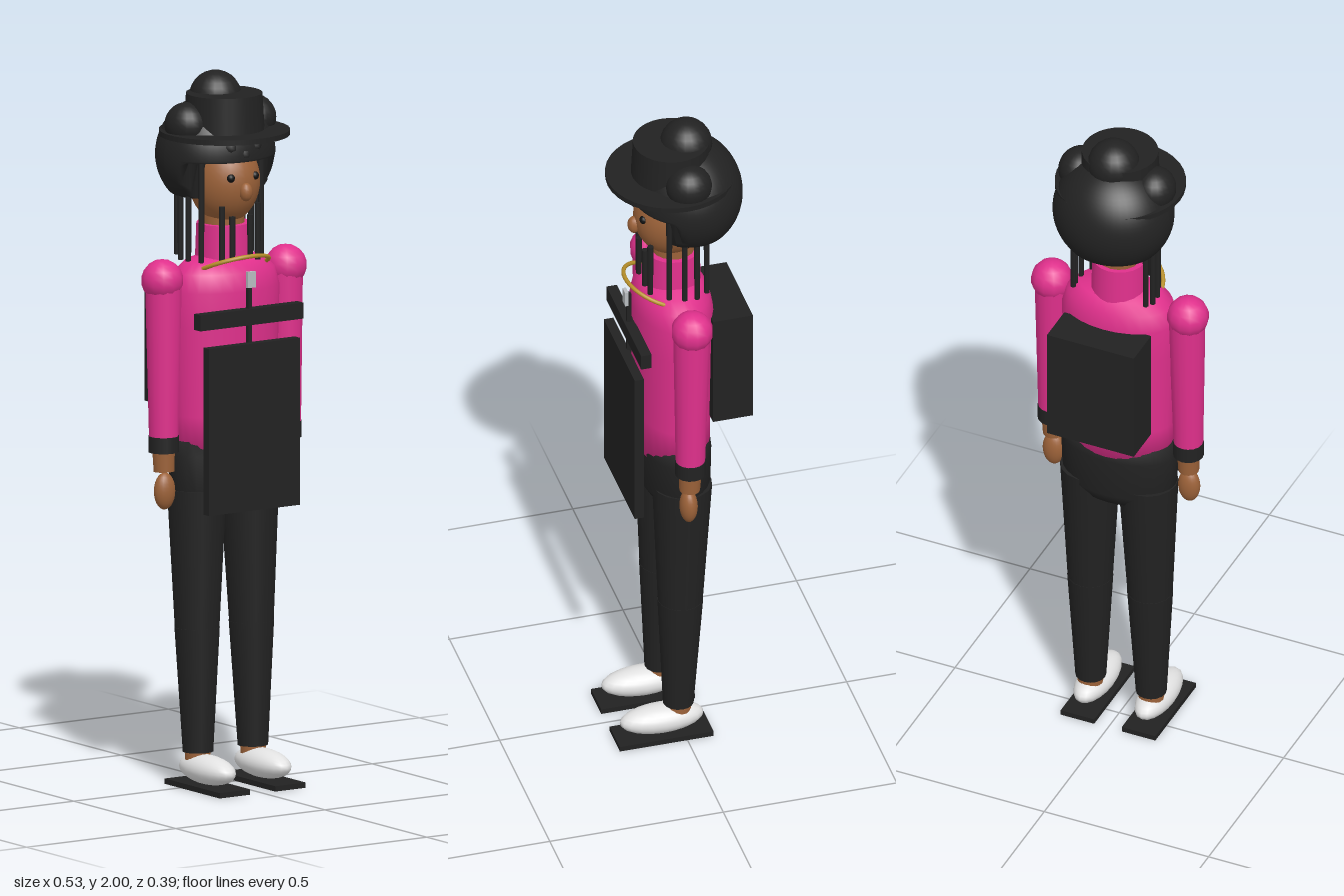
import * as THREE from 'three';

const mat = (name, color, side = THREE.FrontSide) => {
  const m = new THREE.MeshStandardMaterial({ color, side });
  m.name = name;
  return m;
};

export function createModel() {
  const black = mat('black cloth and hair', 0x222222);
  const pink = mat('pink sweater', 0xe0308c);
  const skin = mat('brown skin', 0x9c6239);
  const white = mat('white shoe', 0xe2e2e2);
  const gold = mat('gold', 0xb8902a);
  const silver = mat('silver', 0xb8bcc0);
  const dark = mat('dark eye', 0x111111);

  const model = new THREE.Group();
  model.name = 'figure';

  const add = (name, geo, material, x = 0, y = 0, z = 0) => {
    const mesh = new THREE.Mesh(geo, material);
    mesh.name = name;
    mesh.position.set(x, y, z);
    model.add(mesh);
    return mesh;
  };
  const ball = (name, m, x, y, z, rx, ry = rx, rz = rx, seg = 20) =>
    add(name, new THREE.SphereGeometry(1, seg, Math.ceil(seg * 0.7)).scale(rx, ry, rz), m, x, y, z);
  const box = (name, m, x0, x1, y0, y1, z0, z1) =>
    add(name, new THREE.BoxGeometry(x1 - x0, y1 - y0, z1 - z0), m, (x0 + x1) / 2, (y0 + y1) / 2, (z0 + z1) / 2);
  // Tapered round limb between two points
  const limb = (name, m, a, b, ra, rb, seg = 16) => {
    const p = new THREE.Vector3(...a), q = new THREE.Vector3(...b);
    const mesh = add(name, new THREE.CylinderGeometry(ra, rb, p.distanceTo(q), seg), m);
    mesh.position.copy(p).add(q).multiplyScalar(0.5);
    mesh.quaternion.setFromUnitVectors(new THREE.Vector3(0, 1, 0), p.sub(q).normalize());
    return mesh;
  };
  // Oval body section turned from [radius, y] pairs
  const oval = (name, m, profile, depth, z) =>
    add(name, new THREE.LatheGeometry(profile.map(([r, y]) => new THREE.Vector2(r, y)), 28).scale(1, 1, depth), m, 0, 0, z);

  // Torso, collar and hips
  oval('torso', pink, [[0, 0.93], [0.155, 0.93], [0.158, 1.05], [0.168, 1.3], [0.17, 1.4],
    [0.155, 1.45], [0.12, 1.48], [0, 1.51]], 0.65, 0.005);
  add('collar', new THREE.CylinderGeometry(0.075, 0.08, 0.13, 20), pink, 0, 1.515, 0.002);
  oval('hips', black, [[0, 0.775], [0.13, 0.78], [0.168, 0.82], [0.172, 0.94], [0.16, 0.98], [0, 0.98]], 0.59, 0.003);
  limb('neck', skin, [0, 1.65, 0], [0, 1.55, 0], 0.06, 0.06);

  for (const s of [1, -1]) {
    // Legs and shoes
    limb('thigh', black, [s * 0.088, 0.84, 0], [s * 0.091, 0.45, 0.006], 0.084, 0.063);
    limb('shin', black, [s * 0.091, 0.45, 0.006], [s * 0.092, 0.1, 0.012], 0.064, 0.043);
    limb('ankle', skin, [s * 0.092, 0.13, 0.012], [s * 0.093, 0.06, 0.012], 0.036, 0.036);
    ball('shoe', white, s * 0.093, 0.056, 0.06, 0.05, 0.041, 0.12);
    box('sole', black, s * 0.093 - 0.051, s * 0.093 + 0.051, 0, 0.015, -0.075, 0.195);

    // Arms
    ball('shoulder', pink, s * 0.207, 1.437, 0.005, 0.059, 0.059, 0.059, 12);
    limb('sleeve', pink, [s * 0.203, 1.44, 0.005], [s * 0.206, 0.99, 0.01], 0.052, 0.041);
    limb('cuff', black, [s * 0.206, 1.0, 0.01], [s * 0.206, 0.955, 0.01], 0.043, 0.043);
    limb('wrist', skin, [s * 0.206, 0.96, 0.01], [s * 0.206, 0.9, 0.012], 0.032, 0.029);
    ball('hand', skin, s * 0.206, 0.845, 0.015, 0.032, 0.052, 0.025);

    // Eyes and side buns
    ball('eye', dark, s * 0.04, 1.72, 0.098, 0.012, 0.012, 0.01, 12);
    ball('sideBun', black, s * 0.113, 1.862, -0.013, 0.06, 0.063, 0.065);

    // Hanging braids: x, z, top, bottom
    for (const [x, z, top, bottom] of [[0.11, -0.065, 1.75, 1.49], [0.118, -0.035, 1.75, 1.48], [0.116, 0, 1.78, 1.48],
      [0.1, 0.04, 1.78, 1.48], [0.06, 0.083, 1.64, 1.48], [0.03, 0.09, 1.61, 1.49]])
      limb('braid', black, [s * x, top, z], [s * x, bottom, z], 0.009, 0.008, 8);
  }

  // Head
  ball('head', skin, 0, 1.7, 0.005, 0.097, 0.122, 0.107, 28);
  ball('nose', skin, 0, 1.68, 0.113, 0.019, 0.026, 0.018, 12);

  // Hair dome, cut flat below and higher over the face
  const hair = new THREE.SphereGeometry(1, 48, 36).scale(0.172, 0.165, 0.155);
  const pos = hair.attributes.position;
  for (let i = 0; i < pos.count; i++) {
    const floor = pos.getZ(i) < 0.07 ? -0.112 : -0.005;
    pos.setY(i, Math.max(pos.getY(i), floor));
  }
  hair.computeVertexNormals();
  add('hair', hair, black, 0, 1.77, -0.038);
  ball('topBun', black, 0, 1.928, -0.037, 0.073);
  for (let i = 0; i < 9; i++) {
    const a = (i - 4) * 0.36;
    ball('curl', black, Math.sin(a) * 0.115, 1.785 + (i % 2) * 0.02, Math.cos(a) * 0.095, 0.024, 0.024, 0.024, 10);
  }

  // Hat
  add('hatBrim', new THREE.CylinderGeometry(0.182, 0.182, 0.015, 36), black, 0, 1.835, 0.007);
  add('hatCrown', new THREE.CylinderGeometry(0.106, 0.112, 0.11, 32), black, 0, 1.89, 0.006);

  // Necklace
  const necklace = add('necklace', new THREE.TorusGeometry(0.106, 0.006, 8, 36), gold, 0, 1.46, 0.042);
  necklace.rotation.x = Math.PI / 2 - 0.42;

  // Front panel, strap, cord and clasp
  box('frontPanel', black, -0.153, 0.153, 0.79, 1.26, 0.128, 0.155);
  box('chestStrap', black, -0.173, 0.173, 1.31, 1.355, 0.112, 0.142);
  box('cord', black, -0.006, 0.006, 1.25, 1.45, 0.122, 0.134);
  box('clasp', silver, -0.013, 0.013, 1.415, 1.46, 0.132, 0.142);

  // Backpack
  box('backpack', black, -0.132, 0.132, 1.06, 1.4, -0.192, -0.077);

  return model;
}
